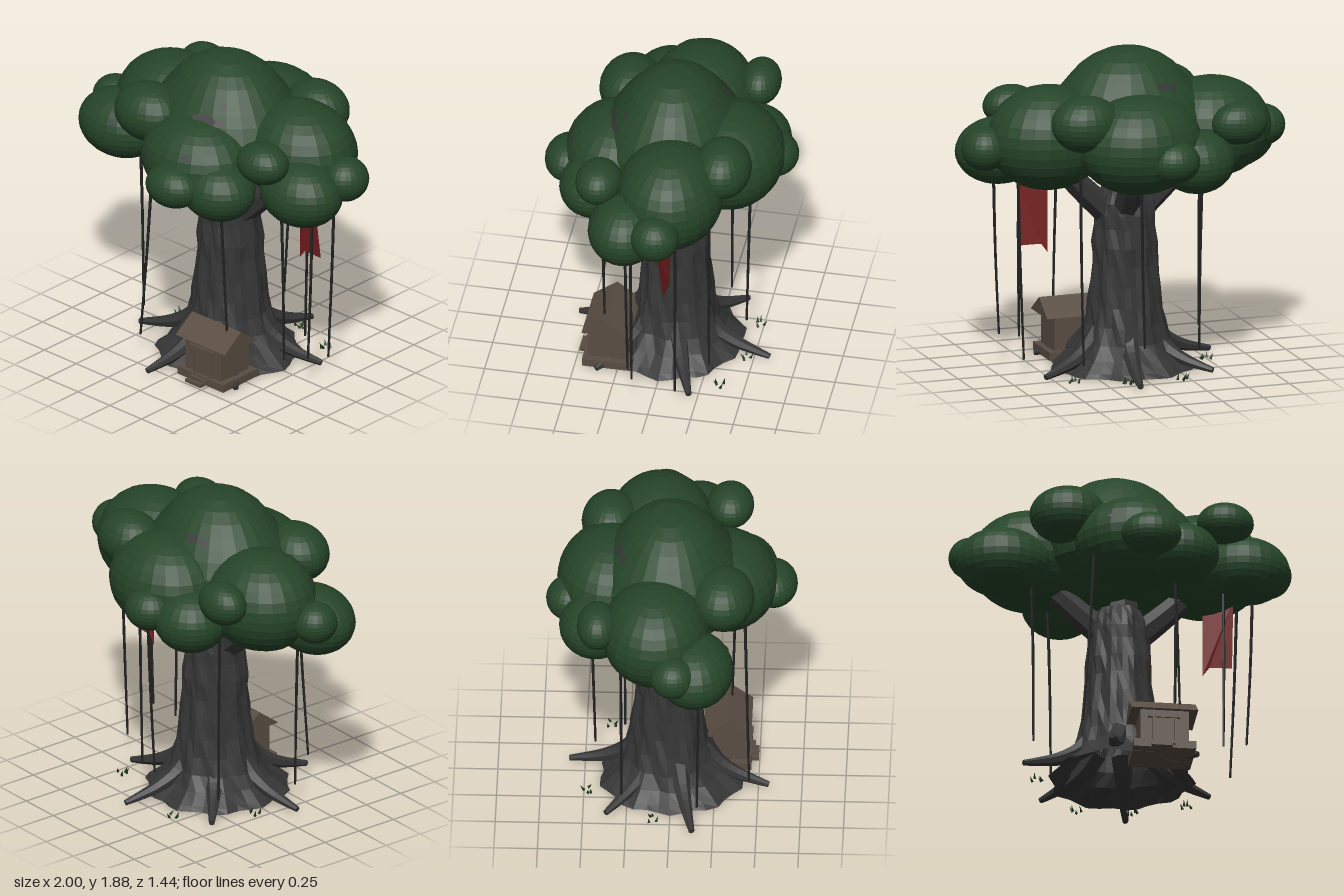
import * as THREE from 'three';

const mat = (name, color, extra = {}) => {
  const m = new THREE.MeshStandardMaterial({ color, flatShading: true, ...extra });
  m.name = name;
  return m;
};
const V = (x, y, z) => new THREE.Vector3(x, y, z);
const points2 = (list) => list.map(([x, y]) => new THREE.Vector2(x, y));

export function createModel() {
  const leaf = mat('leaf green', 0x264529);
  const bark = mat('dark bark', 0x363636, { side: THREE.DoubleSide });
  const vineMat = mat('vine black', 0x222222);
  const wood = mat('shrine wood', 0x594d43);
  const cloth = mat('red cloth', 0x752020, { side: THREE.DoubleSide });
  const grass = mat('grass green', 0x203a22, { side: THREE.DoubleSide });

  const model = new THREE.Group();
  model.name = 'treeWithShrine';
  const add = (name, geo, m, parent = model) => {
    const mesh = new THREE.Mesh(geo, m);
    mesh.name = name;
    parent.add(mesh);
    return mesh;
  };
  const group = (name) => {
    const g = new THREE.Group();
    g.name = name;
    model.add(g);
    return g;
  };

  // Tube whose radius runs from r0 to r1; the last ring collapses into a blunt cap
  const taper = (points, r0, r1, sides = 7, n = 10) => {
    const curve = new THREE.CatmullRomCurve3(points);
    const geo = new THREE.TubeGeometry(curve, n, 1, sides, false);
    const p = geo.attributes.position;
    const v = V(0, 0, 0);
    for (let i = 0; i <= n; i++) {
      const t = Math.min(1, i / (n - 1));
      const from = curve.getPointAt(i / n), to = curve.getPointAt(t);
      const r = i === n ? 0 : r0 + (r1 - r0) * t;
      for (let j = 0; j <= sides; j++) {
        const k = i * (sides + 1) + j;
        v.fromBufferAttribute(p, k).sub(from).multiplyScalar(r).add(to);
        p.setXYZ(k, v.x, v.y, v.z);
      }
    }
    geo.computeVertexNormals();
    return geo;
  };

  // Trunk: flared profile, open below, with wavy ridges that shift from ring to ring
  const profile = [[0.41, 0.005], [0.38, 0.03], [0.31, 0.09], [0.26, 0.17], [0.23, 0.27], [0.212, 0.38],
    [0.2, 0.5], [0.188, 0.62], [0.188, 0.73], [0.175, 0.84], [0.174, 0.92], [0.164, 0.99], [0.135, 1.06], [0, 1.07]];
  const trunk = new THREE.LatheGeometry(points2(profile), 36);
  const tp = trunk.attributes.position;
  for (let i = 0; i < tp.count; i++) {
    const x = tp.getX(i), y = tp.getY(i), z = tp.getZ(i);
    const a = Math.atan2(z, x);
    const s = 1 + 0.045 * Math.cos(10 * a + Math.sin(y * 19)) + 0.02 * Math.cos(3 * a + y * 14);
    const lean = Math.min(1, y * 4);
    tp.setXYZ(i, x * s - 0.01 * lean, y, z * s - 0.022 * lean);
  }
  trunk.computeVertexNormals();
  add('trunk', trunk, bark);

  // Roots spreading over the ground
  const roots = group('roots');
  [[0.54, -0.2], [0.1, -0.59], [-0.42, -0.37], [-0.58, 0.13], [-0.12, 0.56], [0.4, 0.37]].forEach(([x, z]) => {
    const at = (k, y) => V(x * k, y, z * k);
    add('root', taper([at(0.3, 0.22), at(0.46, 0.13), at(0.66, 0.07), at(0.84, 0.04), at(1, 0.018)], 0.065, 0.017), bark, roots);
  });

  // Branches rising from the top of the trunk into the crown
  const branches = group('branches');
  [[-0.54, 1.33, -0.03], [0.52, 1.35, -0.07], [0.06, 1.36, -0.42]].forEach(([x, y, z]) => {
    add('branch', taper([V(x * 0.1, 0.88, z * 0.1), V(x * 0.45, 1.05, z * 0.45), V(x, y, z)], 0.085, 0.06), bark, branches);
  });
  add('heartBranch', taper([V(0, 0.98, 0), V(0.02, 1.2, 0), V(0, 1.5, 0)], 0.11, 0.05), bark, branches);

  // Crown: a broad central dome with overlapping ellipsoids around it
  const crown = group('crown');
  const domeProfile = [[0, 1.08], [0.2, 1.12], [0.36, 1.2], [0.46, 1.3], [0.5, 1.41], [0.48, 1.51], [0.43, 1.6],
    [0.385, 1.66], [0.335, 1.72], [0.28, 1.78], [0.21, 1.83], [0.125, 1.868], [0, 1.885]];
  const dome = add('centralDome', new THREE.LatheGeometry(points2(domeProfile), 28), leaf, crown);
  dome.position.set(-0.025, 0, -0.01);
  dome.scale.z = 0.86;
  [ // x, y, z, rx, ry, rz
    [-0.51, 1.39, -0.08, 0.355, 0.295, 0.31],
    [0.48, 1.41, -0.08, 0.36, 0.305, 0.31],
    [0.05, 1.36, 0.3, 0.36, 0.265, 0.31],
    [0.02, 1.39, -0.35, 0.37, 0.29, 0.31],
    [-0.7, 1.27, 0.15, 0.275, 0.2, 0.225],
    [0.7, 1.3, 0.14, 0.26, 0.195, 0.215],
    [-0.87, 1.34, 0.03, 0.13, 0.12, 0.13],
    [0.86, 1.37, -0.06, 0.135, 0.13, 0.14],
    [-0.34, 1.52, 0.3, 0.225, 0.17, 0.185],
    [0.565, 1.51, 0.32, 0.165, 0.12, 0.135],
    [0.105, 1.3, 0.58, 0.175, 0.125, 0.14],
    [0.29, 1.27, 0.4, 0.23, 0.175, 0.2],
    [0.35, 1.54, -0.36, 0.21, 0.165, 0.17],
    [-0.57, 1.48, -0.41, 0.165, 0.125, 0.12],
    [-0.11, 1.33, -0.58, 0.15, 0.125, 0.14],
    [-0.3, 1.28, -0.43, 0.22, 0.185, 0.21],
  ].forEach(([x, y, z, a, b, c]) => {
    const m = add('leafClump', new THREE.SphereGeometry(1, 24, 16), leaf, crown);
    m.position.set(x, y, z);
    m.scale.set(a, b, c);
  });

  // Bark showing through the leaves, laid on the crown surface [x, y, side in z, width, height]
  const patches = group('barkPatches');
  crown.updateMatrixWorld(true);
  const ray = new THREE.Raycaster();
  [
    [0.07, 1.63, 1, 0.08, 0.045], [0.13, 1.625, 1, 0.1, 0.06], [0.19, 1.62, 1, 0.09, 0.05], [0.18, 1.7, 1, 0.04, 0.05],
    [0.17, 1.48, 1, 0.08, 0.03], [-0.12, 1.41, 1, 0.05, 0.02], [-0.61, 1.36, 1, 0.045, 0.03],
    [-0.14, 1.7, -1, 0.09, 0.05], [-0.21, 1.69, -1, 0.07, 0.05],
  ].forEach(([x, y, side, w, h]) => {
    ray.set(V(x, y, side * 3), V(0, 0, -side));
    const hit = ray.intersectObject(crown, true)[0];
    const normal = hit.face.normal.clone()
      .applyNormalMatrix(new THREE.Matrix3().getNormalMatrix(hit.object.matrixWorld)).normalize();
    const m = add('barkPatch', new THREE.CircleGeometry(0.5, 7), bark, patches);
    m.position.copy(hit.point).addScaledVector(normal, 0.005);
    m.lookAt(m.position.clone().add(normal));
    m.scale.set(w, h, 1);
  });

  // Hanging vines [top x, top z, bottom x, bottom y, bottom z]
  const vines = group('vines');
  [
    [-0.54, 0.17, -0.525, 0.15, 0.157], [-0.205, 0.425, -0.275, 0.16, 0.45], [-0.39, -0.285, -0.37, 0.12, -0.28],
    [0.265, 0.36, 0.3, 0.3, 0.335], [0.355, -0.285, 0.335, 0.09, -0.28], [0.57, 0.17, 0.575, 0.18, 0.15],
    [0.69, -0.15, 0.65, 0.12, -0.14], [0.75, 0.1, 0.715, 0.22, 0.1], [0.05, -0.47, 0.02, 0.2, -0.44],
  ].forEach(([x, z, bx, by, bz]) => {
    const mid = V((x + bx) / 2 + 0.004, 0.7, (z + bz) / 2);
    add('vine', taper([V(x, 1.25, z), mid, V(bx, by, bz)], 0.01, 0.007, 5, 8), vineMat, vines);
  });

  // Torn cloth banner, its upper right corner blown forward
  const flag = new THREE.ShapeGeometry(new THREE.Shape(
    points2([[-0.085, 0.2], [0.085, 0.2], [0.085, -0.2], [-0.045, -0.2], [-0.085, -0.255]])));
  const fp = flag.attributes.position;
  for (let i = 0; i < fp.count; i++) {
    fp.setZ(i, 0.06 * (fp.getX(i) / 0.17 + 0.5) * (fp.getY(i) > 0 ? 1 : 0.1));
  }
  flag.computeVertexNormals();
  add('banner', flag, cloth).position.set(0.568, 0.98, -0.08);

  // Small wooden shrine at the foot of the tree
  const shrine = group('shrine');
  const box = (name, x0, x1, y0, y1, z0, z1) => {
    const m = add(name, new THREE.BoxGeometry(x1 - x0, y1 - y0, z1 - z0), wood, shrine);
    m.position.set((x0 + x1) / 2, (y0 + y1) / 2, (z0 + z1) / 2);
  };
  box('plinth', 0.02, 0.38, 0.012, 0.06, 0.165, 0.455);
  box('walls', 0.06, 0.34, 0.06, 0.265, 0.2, 0.43);
  box('door', 0.14, 0.26, 0.06, 0.207, 0.43, 0.436);
  box('lintel', 0.105, 0.29, 0.207, 0.23, 0.43, 0.446);
  for (const x of [0.13, 0.255]) box('doorPost', x, x + 0.015, 0.06, 0.207, 0.43, 0.442);
  box('upperStep', 0.14, 0.26, 0.03, 0.05, 0.45, 0.475);
  box('lowerStep', 0.12, 0.24, 0.008, 0.028, 0.45, 0.495);
  const gable = new THREE.Shape(points2([[-0.138, 0], [0.138, 0], [0, 0.1]]));
  const roof = add('roof', new THREE.ExtrudeGeometry(gable, { depth: 0.385, bevelEnabled: false }), wood, shrine);
  roof.rotation.y = Math.PI / 2;
  roof.position.set(0.007, 0.257, 0.317);

  // Grass tufts between the roots
  const tufts = group('grassTufts');
  [[-0.48, 0.04, -0.1], [0.12, 0.03, -0.46], [0.42, 0.04, -0.36], [-0.2, 0.03, -0.48]].forEach(([x, y, z], k) => {
    for (let i = 0; i < 4; i++) {
      const a = i * 1.9 + k;
      const blade = add('blade', new THREE.ConeGeometry(0.01, 0.04, 3), grass, tufts);
      blade.position.set(x + 0.03 * Math.cos(a), y - 0.005, z + 0.03 * Math.sin(a));
      blade.rotation.set(0.5 * Math.sin(a), a, 0.5 * Math.cos(a));
    }
  });
  return model;
}
